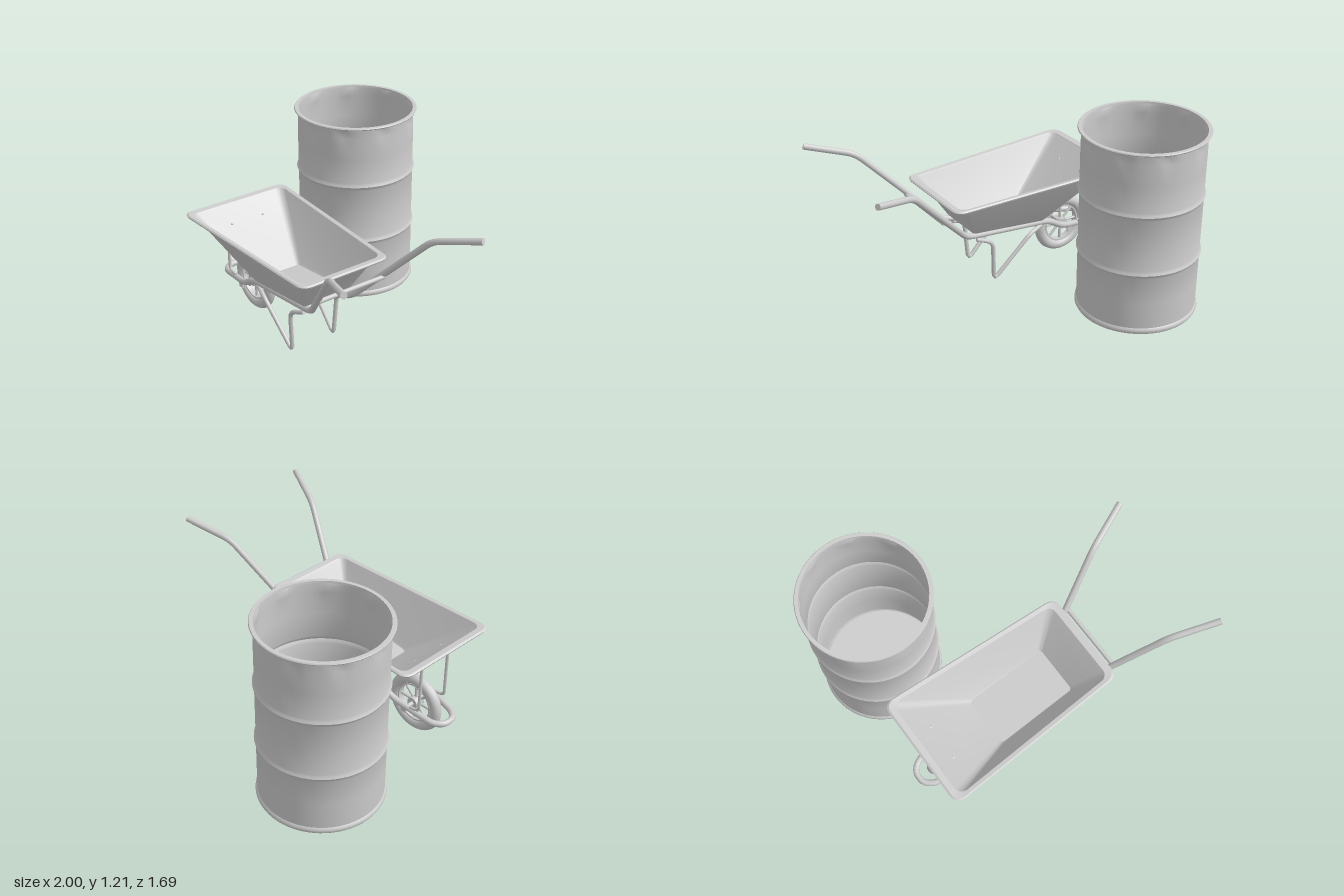
import * as THREE from 'three';
import { mergeGeometries, toCreasedNormals } from 'three/addons/utils/BufferGeometryUtils.js';

const grey = new THREE.MeshStandardMaterial({ color: 0xcccccc });
const greyThin = new THREE.MeshStandardMaterial({ color: 0xcccccc, side: THREE.DoubleSide });
const V = (p) => new THREE.Vector3(...p);

function add(parent, name, geometry, material = grey) {
  const mesh = new THREE.Mesh(geometry, material);
  mesh.name = name;
  parent.add(mesh);
  return mesh;
}

// Straight runs joined by rounded bends, swept as a capped tube
function pipe(points, radius, bend = 0.05, sides = 10) {
  const p = points.map(V);
  const path = new THREE.CurvePath();
  let from = p[0];
  for (let i = 1; i < p.length - 1; i++) {
    const reach = Math.min(bend, p[i].distanceTo(p[i - 1]) * 0.45, p[i].distanceTo(p[i + 1]) * 0.45);
    const a = p[i].clone().add(p[i - 1].clone().sub(p[i]).setLength(reach));
    const b = p[i].clone().add(p[i + 1].clone().sub(p[i]).setLength(reach));
    path.add(new THREE.LineCurve3(from, a));
    path.add(new THREE.QuadraticBezierCurve3(a, p[i], b));
    from = b;
  }
  const last = p[p.length - 1];
  path.add(new THREE.LineCurve3(from, last));
  const segments = Math.max(2, Math.round(path.getLength() / 0.02));
  const caps = [[p[0], p[1]], [last, p[p.length - 2]]].map(([end, next]) => {
    const q = new THREE.Quaternion().setFromUnitVectors(V([0, 0, 1]), end.clone().sub(next).normalize());
    return new THREE.CircleGeometry(radius, sides).applyQuaternion(q).translate(end.x, end.y, end.z);
  });
  return mergeGeometries([new THREE.TubeGeometry(path, p.length > 2 ? segments : 2, radius, sides), ...caps]);
}

// Tapered rounded rectangle: half widths w0 at x0 and w1 at x1, height y0 to y1
function ring({ x0, x1, w0, w1, y0, y1, r }) {
  const out = [];
  const corners = [[x1, w1, 1, 1], [x0, w0, -1, 1], [x0, w0, -1, -1], [x1, w1, 1, -1]];
  corners.forEach(([x, w, sx, sz], c) => {
    for (let i = 0; i <= 4; i++) {
      const a = (c + i / 4) * Math.PI / 2;
      const px = x - sx * r + r * Math.cos(a);
      out.push([px, y0 + (y1 - y0) * (px - x0) / (x1 - x0), sz * (w - r) + r * Math.sin(a)]);
    }
  });
  return out;
}

// Skin between successive rings, the first one filled
function loft(rings) {
  const n = rings[0].length;
  const pos = rings.flat(2);
  const index = [];
  for (let i = 1; i < n - 1; i++) index.push(0, i + 1, i);
  for (let k = 0; k < rings.length - 1; k++) {
    for (let i = 0; i < n; i++) {
      const a = k * n + i, b = k * n + (i + 1) % n;
      index.push(a, b, a + n, b, b + n, a + n);
    }
  }
  const g = new THREE.BufferGeometry();
  g.setAttribute('position', new THREE.Float32BufferAttribute(pos, 3));
  g.setIndex(index);
  return toCreasedNormals(g, 0.5);
}

function makeBarrel() {
  const barrel = new THREE.Group();
  barrel.name = 'barrel';
  barrel.position.set(-0.605, 0, -0.455);
  const profile = [
    [0, 0.03], [0.368, 0.03], [0.37, 0.012], [0.38, 0.008], [0.386, 0.02], [0.384, 0.035], [0.375, 0.045],
    [0.375, 0.22], [0.375, 0.395], [0.38, 0.408], [0.386, 0.42], [0.38, 0.432], [0.375, 0.445],
    [0.375, 0.62], [0.375, 0.785], [0.38, 0.798], [0.386, 0.81], [0.38, 0.822], [0.375, 0.835],
    [0.375, 1.0], [0.375, 1.08], [0.374, 1.14], [0.374, 1.18], [0.376, 1.206],
  ].map(([x, y]) => new THREE.Vector2(x, y));
  const shell = new THREE.LatheGeometry(profile, 64);
  // Shallow dents in the wall below the rim
  const pos = shell.attributes.position;
  for (let i = 0; i < pos.count; i++) {
    const x = pos.getX(i), y = pos.getY(i), z = pos.getZ(i);
    if (y < 1.1 || y > 1.2) continue;
    const dent = Math.max(0, Math.sin(Math.atan2(z, x) * 9) - 0.4) * (y > 1.16 ? 0.02 : 0.01);
    pos.setXYZ(i, x * (1 - dent / 0.375), y, z * (1 - dent / 0.375));
  }
  add(barrel, 'barrelShell', toCreasedNormals(shell, 0.7), greyThin);
  const rim = [[0.368, 1.204], [0.392, 1.204], [0.396, 1.21], [0.392, 1.216], [0.37, 1.216], [0.368, 1.204]];
  add(barrel, 'barrelRim', toCreasedNormals(new THREE.LatheGeometry(rim.map((p) => new THREE.Vector2(...p)), 64), 0.7), greyThin);
  return barrel;
}

function makeWheel() {
  const wheel = new THREE.Group();
  wheel.name = 'wheel';
  wheel.position.set(-0.605, 0.208, 0);
  add(wheel, 'tyre', new THREE.TorusGeometry(0.163, 0.036, 14, 48));
  const band = [[0.122, -0.022], [0.132, -0.022], [0.132, 0.022], [0.122, 0.022], [0.122, -0.022]];
  add(wheel, 'wheelRim', toCreasedNormals(new THREE.LatheGeometry(band.map((p) => new THREE.Vector2(...p)), 40).rotateX(Math.PI / 2), 0.7), greyThin);
  add(wheel, 'hub', new THREE.CylinderGeometry(0.038, 0.038, 0.07, 20).rotateX(Math.PI / 2));
  add(wheel, 'axle', new THREE.CylinderGeometry(0.014, 0.014, 0.23, 12).rotateX(Math.PI / 2));
  for (let i = 0; i < 8; i++) {
    const a = i * Math.PI / 4;
    const at = (r, z) => [r * Math.cos(a), r * Math.sin(a), z];
    add(wheel, 'spoke', pipe([at(0.03, 0), at(0.128, 0)], 0.009, 0, 8));
  }
  return wheel;
}

function makeWheelbarrow() {
  const barrow = new THREE.Group();
  barrow.name = 'wheelbarrow';
  barrow.position.z = 0.355;

  // Tray: floor, sloped walls, flat rim and turned-down lip
  const tray = [
    { x0: -0.355, x1: 0.185, w0: 0.165, w1: 0.16, y0: 0.372, y1: 0.44, r: 0.02 },
    { x0: -0.365, x1: 0.19, w0: 0.172, w1: 0.167, y0: 0.38, y1: 0.447, r: 0.025 },
    { x0: -0.775, x1: 0.335, w0: 0.33, w1: 0.275, y0: 0.695, y1: 0.695, r: 0.045 },
    { x0: -0.785, x1: 0.345, w0: 0.337, w1: 0.282, y0: 0.706, y1: 0.706, r: 0.05 },
    { x0: -0.822, x1: 0.382, w0: 0.362, w1: 0.305, y0: 0.71, y1: 0.71, r: 0.055 },
    { x0: -0.834, x1: 0.392, w0: 0.37, w1: 0.313, y0: 0.703, y1: 0.703, r: 0.06 },
    { x0: -0.83, x1: 0.388, w0: 0.366, w1: 0.31, y0: 0.693, y1: 0.693, r: 0.06 },
  ];
  add(barrow, 'tray', loft(tray.map(ring)), greyThin);

  // One bent tube from handle to handle around the wheel
  const side = [
    [0.995, 1.017, 0.47], [0.71, 0.935, 0.355], [0.225, 0.42, 0.14], [-0.4, 0.345, 0.14],
    [-0.53, 0.26, 0.13], [-0.82, 0.208, 0.088], [-0.873, 0.206, 0.04],
  ];
  const other = side.map(([x, y, z]) => [x, y, -z]).reverse();
  add(barrow, 'frame', pipe([...side, ...other], 0.02, 0.06));
  add(barrow, 'rearCrossbar', pipe([[0.437, 0.625, -0.235], [0.437, 0.625, 0.235]], 0.014));

  for (const s of [1, -1]) {
    const mirrored = (points) => points.map(([x, y, z]) => [x, y, s * z]);
    add(barrow, 'leg', pipe(mirrored([
      [-0.34, 0.33, 0.145], [-0.24, 0.312, 0.172], [0.035, 0.052, 0.155],
      [0.05, 0.345, 0.172], [0.155, 0.383, 0.145],
    ]), 0.014, 0.045));
    add(barrow, 'trayStay', pipe(mirrored([
      [-0.66, 0.255, 0.115], [-0.73, 0.265, 0.115], [-0.73, 0.625, 0.115], [-0.67, 0.61, 0.115],
    ]), 0.01, 0.03));
    const bracket = add(barrow, 'axleBracket', new THREE.BoxGeometry(0.04, 0.06, 0.012));
    bracket.position.set(-0.605, 0.218, s * 0.11);
  }
  barrow.add(makeWheel());
  return barrow;
}

export function createModel() {
  const model = new THREE.Group();
  model.name = 'wheelbarrowAndBarrel';
  model.add(makeBarrel(), makeWheelbarrow());
  return model;
}
